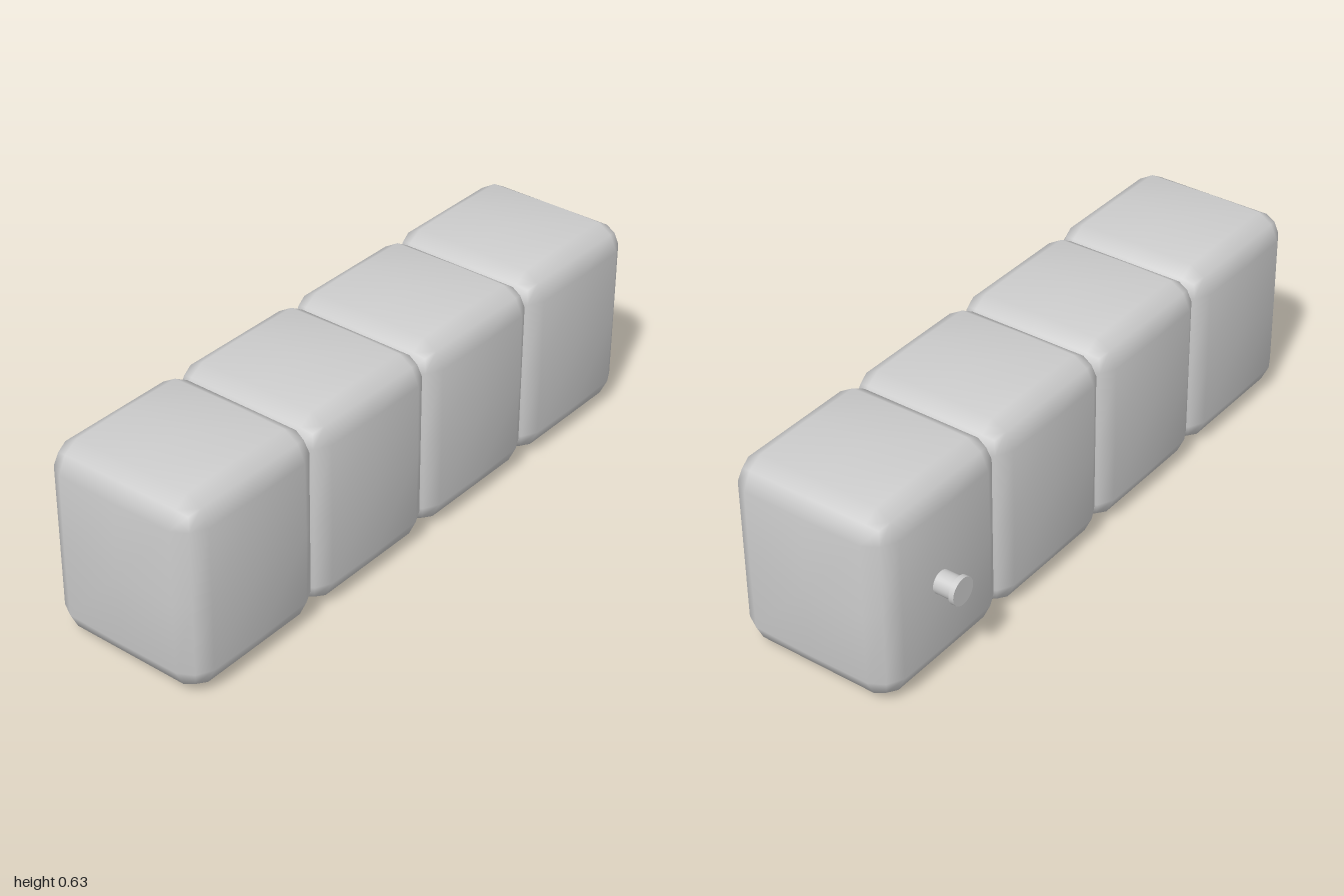
import * as THREE from 'three';
import { mergeVertices } from 'three/addons/utils/BufferGeometryUtils.js';

const material = new THREE.MeshStandardMaterial({ color: 0xcccccc });

// Pillow-shaped block: a 4x4x4 box grid with rounded rims and slightly domed faces
function pillowGeometry() {
  const half = [0.265, 0.31, 0.261];
  const radius = [0.07, 0.08, 0.073];
  const dome = 0.0075;
  const shrink = [0, 1, 0.92, 0.88]; // flattens edges and corners a little
  const geo = new THREE.BoxGeometry(2, 2, 2, 4, 4, 4);
  geo.deleteAttribute('normal');
  geo.deleteAttribute('uv');
  const pos = geo.attributes.position;
  for (let i = 0; i < pos.count; i++) {
    const g = [pos.getX(i), pos.getY(i), pos.getZ(i)]; // each -1, -0.5, 0, 0.5 or 1
    const outer = g.filter((v) => Math.abs(v) > 0.9).length;
    const middle = g.filter((v) => Math.abs(v) < 0.1).length;
    const p = g.map((v, k) => {
      const s = Math.sign(v);
      let c = s * (half[k] - radius[k]);
      if (Math.abs(v) > 0.9) {
        c += s * radius[k] * shrink[outer] / Math.sqrt(outer);
        if (outer === 1) c += s * dome * [0, 0.35, 1][middle];
      }
      return c;
    });
    pos.setXYZ(i, ...p);
  }
  const merged = mergeVertices(geo, 1e-5);
  merged.computeVertexNormals();
  return merged;
}

export function createModel() {
  const model = new THREE.Group();
  model.name = 'segmentedCushion';

  // Row of four identical cushions, slightly overlapping
  const pillow = pillowGeometry();
  for (let i = 0; i < 4; i++) {
    const mesh = new THREE.Mesh(pillow, material);
    mesh.name = `cushion${i + 1}`;
    mesh.position.set(0.035, 0.3185, (1.5 - i) * 0.4866);
    model.add(mesh);
  }

  // Valve on the right side of the rear cushion
  const valve = new THREE.Group();
  valve.name = 'valve';
  const disc = (name, radius, x0, x1) => {
    const mesh = new THREE.Mesh(new THREE.CylinderGeometry(radius, radius, x1 - x0, 32), material);
    mesh.name = name;
    mesh.rotation.z = Math.PI / 2;
    mesh.position.x = (x0 + x1) / 2;
    valve.add(mesh);
  };
  disc('valveStem', 0.035, -0.295, -0.2);
  disc('valveCap', 0.043, -0.309, -0.293);
  valve.position.set(0, 0.32, -0.76);
  model.add(valve);

  return model;
}
